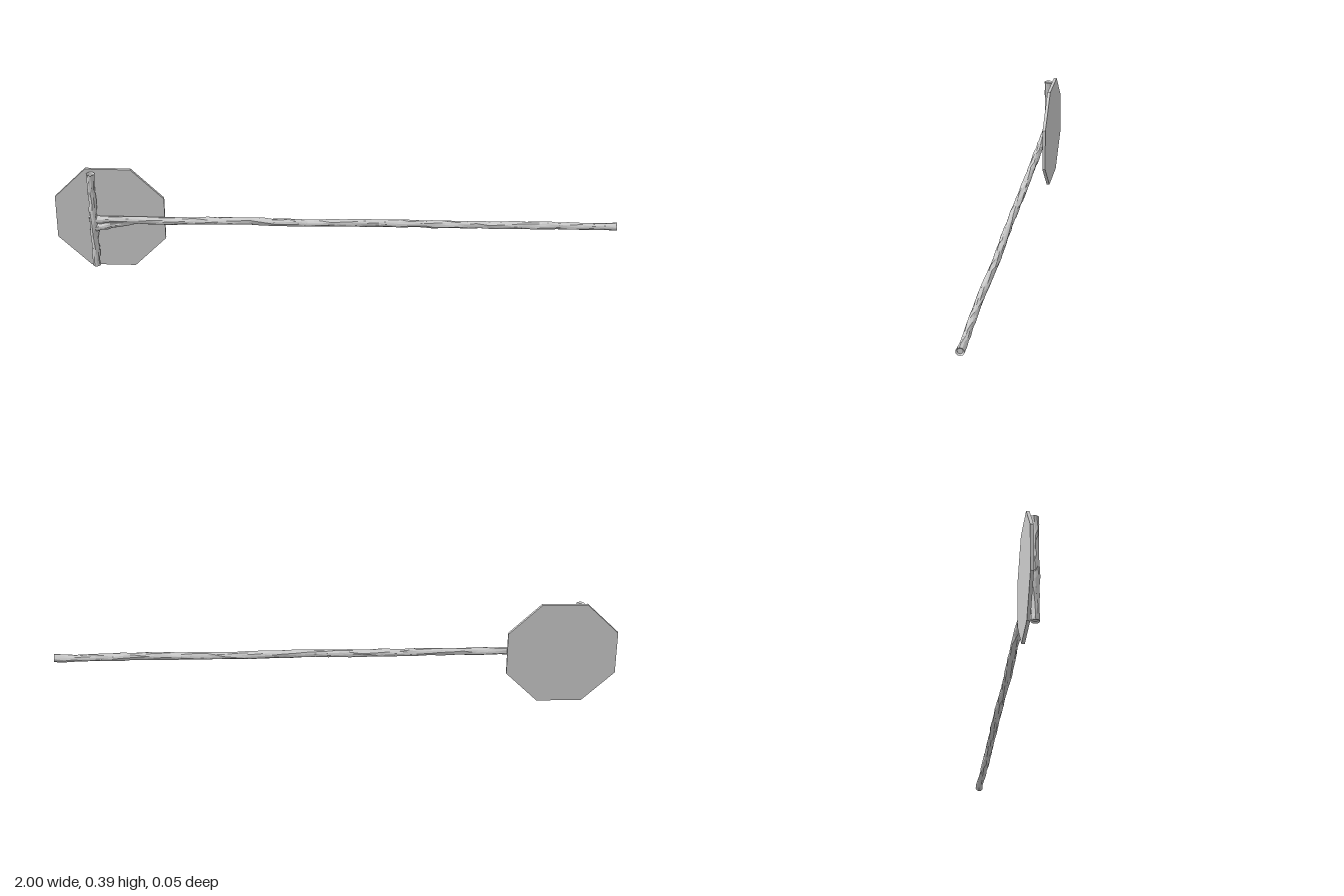
import * as THREE from 'three';

const material = new THREE.MeshStandardMaterial({ color: 0xcccccc, flatShading: true });

// Small seeded generator for the bark irregularity
function seeded(seed) {
  let s = seed;
  return () => (s = (s * 16807) % 2147483647) / 2147483647;
}

// Rough wooden branch between two points, with flared rims and slightly hollowed ends
function branch(name, from, to, radiusAt, rings, sides, seed, sway) {
  const rand = seeded(seed);
  const dir = to.clone().sub(from);
  const length = dir.length();
  const rows = [];
  const ring = (t, scale, rough, inset = 0) => {
    const row = [];
    const cx = Math.sin(t * 23 + seed) * sway * rough;
    const cz = Math.cos(t * 17 + seed) * sway * rough;
    for (let j = 0; j < sides; j++) {
      const a = (j / sides) * Math.PI * 2 + t * length * 4;
      const r = radiusAt(t) * scale * (1 + (rand() - 0.5) * 0.3 * rough);
      const shift = rough * (rand() - 0.5) * (length / rings) * 0.6;
      row.push([cx + Math.cos(a) * r, t * length + inset + shift, cz + Math.sin(a) * r]);
    }
    rows.push(row);
  };
  ring(0, 0.02, 0, 0.005);
  ring(0, 0.7, 0, 0.005);
  ring(0, 1.06, 0);
  for (let i = 1; i < rings; i++) ring(i / rings, 0.96, 1);
  ring(1, 1.06, 0);
  ring(1, 0.7, 0, -0.005);
  ring(1, 0.02, 0, -0.005);

  const index = [];
  for (let i = 0; i < rows.length - 1; i++) {
    for (let j = 0; j < sides; j++) {
      const k = (j + 1) % sides;
      const a = i * sides + j, b = i * sides + k;
      const c = a + sides, d = b + sides;
      index.push(a, c, b, b, c, d);
    }
  }
  const geometry = new THREE.BufferGeometry();
  geometry.setAttribute('position', new THREE.Float32BufferAttribute(rows.flat(2), 3));
  geometry.setIndex(index);
  geometry.computeVertexNormals();
  const mesh = new THREE.Mesh(geometry, material);
  mesh.name = name;
  mesh.position.copy(from);
  mesh.quaternion.setFromUnitVectors(new THREE.Vector3(0, 1, 0), dir.normalize());
  return mesh;
}

export function createModel() {
  const group = new THREE.Group();
  group.name = 'signPaddle';
  const v = (x, y, z) => new THREE.Vector3(x, y, z);

  // Thin octagonal plate, flat sides aligned with the axes
  const plateGeometry = new THREE.CylinderGeometry(0.211, 0.211, 0.011, 8);
  plateGeometry.rotateY(Math.PI / 8).rotateX(Math.PI / 2);
  const plate = new THREE.Mesh(plateGeometry, material);
  plate.name = 'octagonPlate';
  plate.position.set(-0.805, 0.195, -0.0115);
  group.add(plate);

  // Long handle, running slightly backwards towards its free end
  group.add(branch('handle', v(-0.865, 0.196, 0.011), v(1, 0.196, -0.011),
    () => 0.0138, 46, 10, 11, 0.0012));

  // Upright crossbar in front of the plate
  group.add(branch('crossbar', v(-0.863, 0.01, 0.012), v(-0.863, 0.381, 0.012),
    (t) => 0.0142 + 0.002 * Math.exp(-(((t - 0.4) / 0.12) ** 2)), 16, 10, 29, 0.0012));

  // Swollen knot filling the corner below the handle
  group.add(branch('jointKnot', v(-0.861, 0.165, 0.011), v(-0.70, 0.194, 0.009),
    (t) => 0.0155 - 0.005 * t, 8, 10, 47, 0.001));

  return group;
}
